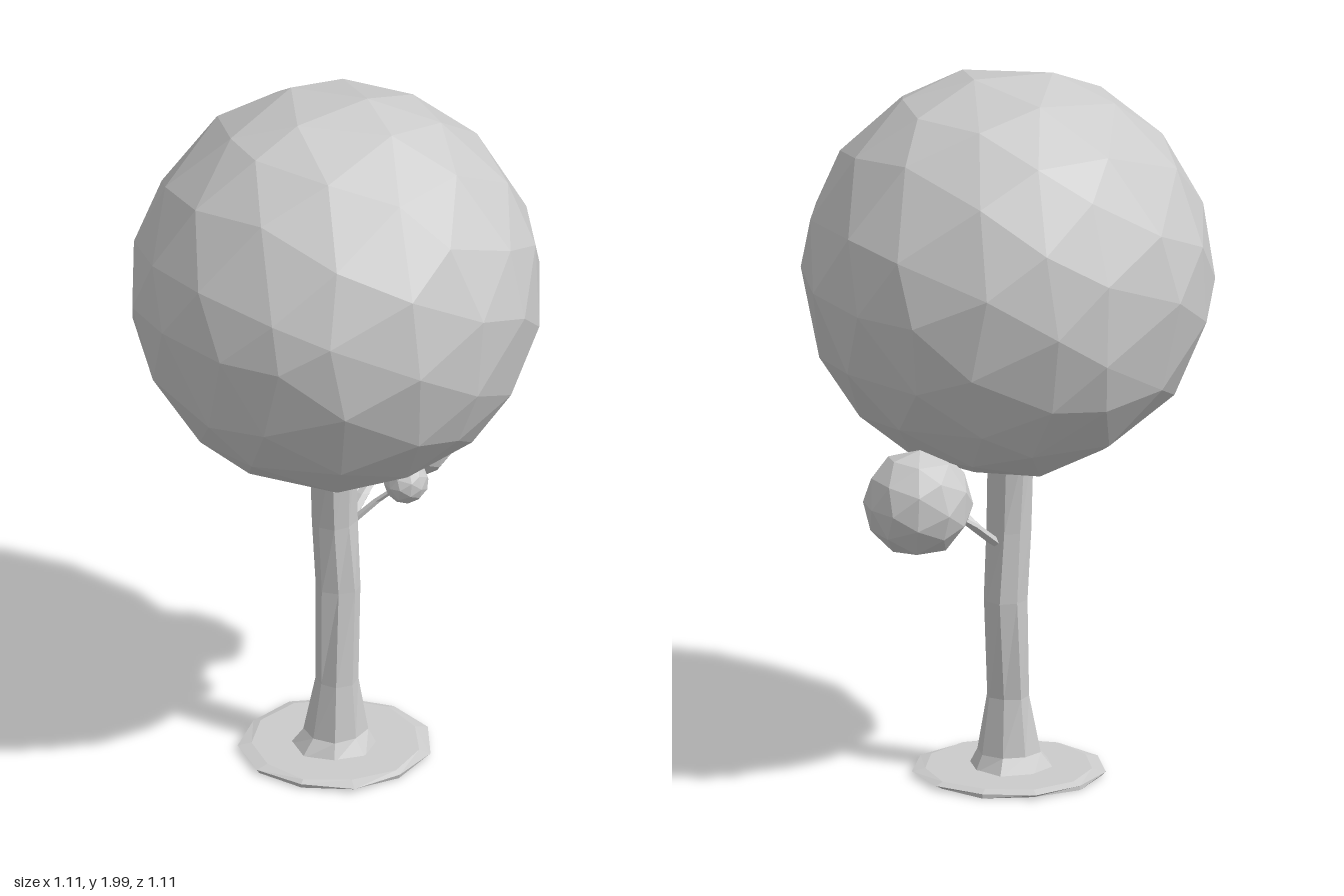
import * as THREE from 'three';

const material = new THREE.MeshStandardMaterial({ color: 0xcccccc, flatShading: true });

function addMesh(parent, name, geometry) {
  const flat = geometry.index ? geometry.toNonIndexed() : geometry;
  flat.computeVertexNormals();
  const mesh = new THREE.Mesh(flat, material);
  mesh.name = name;
  parent.add(mesh);
  return mesh;
}

// Faceted ball whose corners slide a little along its surface
function foliage(radius, detail, slide) {
  const geometry = new THREE.IcosahedronGeometry(radius, detail);
  const pos = geometry.attributes.position;
  const p = new THREE.Vector3();
  const offset = new THREE.Vector3();
  for (let i = 0; i < pos.count; i++) {
    p.fromBufferAttribute(pos, i).normalize();
    offset.set(
      Math.sin(p.y * 17 + p.z * 9 + 1),
      Math.sin(p.z * 15 + p.x * 11 + 2),
      Math.sin(p.x * 19 + p.y * 7 + 3)
    );
    p.addScaledVector(offset, slide).normalize().multiplyScalar(radius);
    pos.setXYZ(i, p.x, p.y, p.z);
  }
  return geometry;
}

// Tapered stem through rings of [x, y, z, radius], closed at both ends
function stem(rings, sides, wobble) {
  const geometry = new THREE.CylinderGeometry(1, 1, 1, sides, rings.length - 1);
  const pos = geometry.attributes.position;
  for (let i = 0; i < pos.count; i++) {
    const level = Math.round((pos.getY(i) + 0.5) * (rings.length - 1));
    const [x, y, z, r] = rings[level];
    const px = pos.getX(i);
    const pz = pos.getZ(i);
    const k = r * (1 + wobble * Math.sin(px * 5 + pz * 3 + level * 2));
    pos.setXYZ(i, x + px * k, y, z + pz * k);
  }
  return geometry;
}

export function createModel() {
  const tree = new THREE.Group();
  tree.name = 'tree';

  // Thin, slightly uneven ground patch
  addMesh(tree, 'groundPatch', stem([
    [-0.005, 0, 0, 0.25],
    [-0.005, 0.012, 0, 0.262],
    [-0.005, 0.02, 0, 0.235],
  ], 11, 0.03));

  // Gently bent trunk with a flared foot
  addMesh(tree, 'trunk', stem([
    [-0.01, 0.012, 0.005, 0.12],
    [-0.008, 0.06, 0.005, 0.085],
    [-0.007, 0.22, 0.008, 0.061],
    [0.01, 0.5, 0, 0.062],
    [0.002, 0.7, -0.008, 0.06],
    [-0.005, 0.95, -0.01, 0.066],
  ], 8, 0.06));

  // Side branches
  addMesh(tree, 'branch', stem([
    [0.03, 0.655, -0.01, 0.022],
    [0.13, 0.735, -0.025, 0.02],
    [0.3, 0.84, -0.06, 0.017],
  ], 6, 0));
  addMesh(tree, 'twig', stem([
    [0.05, 0.67, -0.005, 0.014],
    [0.11, 0.745, 0.05, 0.012],
    [0.15, 0.81, 0.115, 0.01],
  ], 5, 0));

  // Foliage balls
  addMesh(tree, 'crown', foliage(0.567, 2, 0.05)).position.set(0, 1.434, 0);
  addMesh(tree, 'sideFoliage', foliage(0.151, 1, 0.04)).position.set(0.332, 0.845, -0.065);
  addMesh(tree, 'smallFoliage', foliage(0.062, 1, 0.04)).position.set(0.15, 0.815, 0.12);

  return tree;
}
